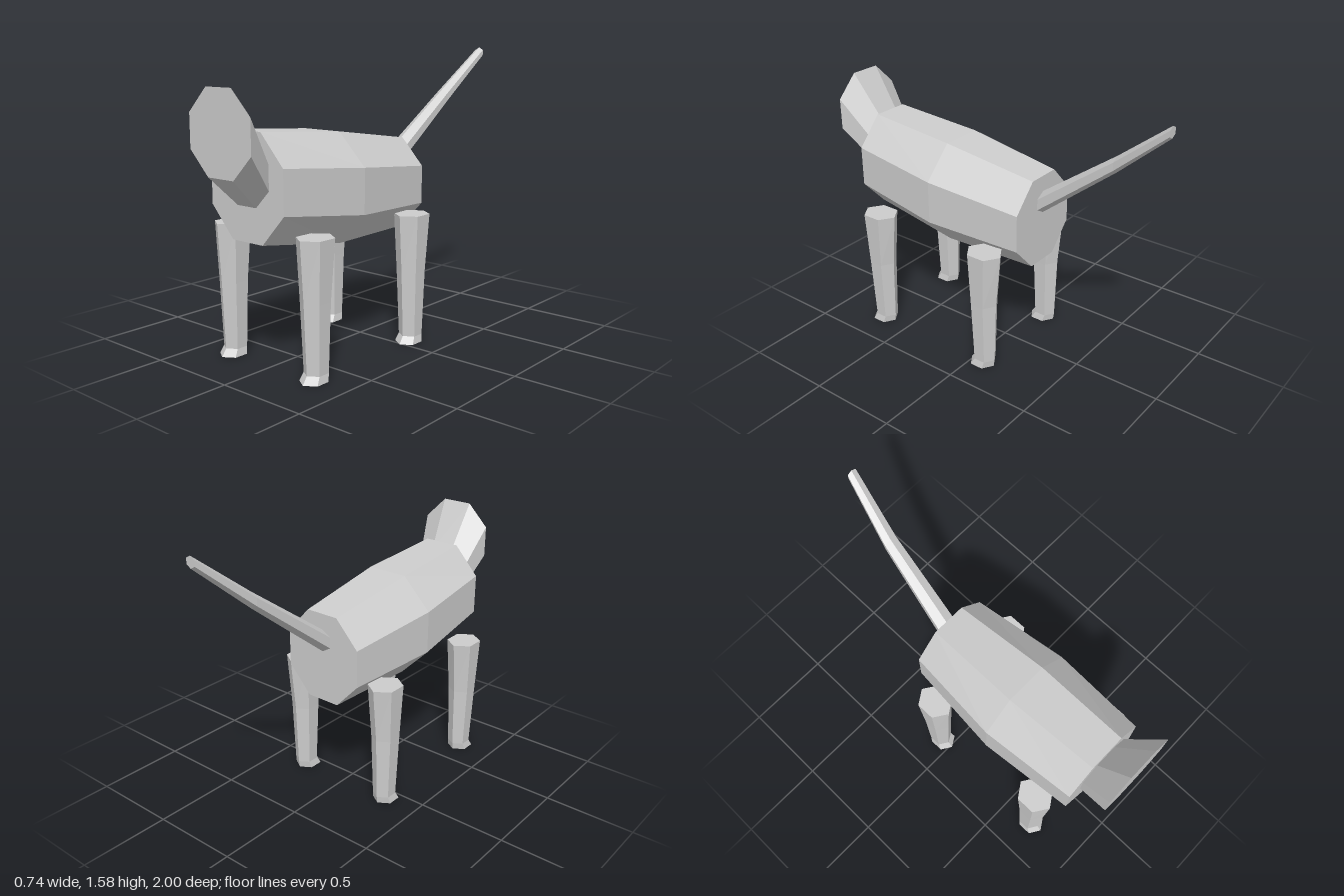
import * as THREE from 'three';

const grey = new THREE.MeshStandardMaterial({ color: 0xcccccc, flatShading: true });
grey.name = 'plain grey';

// Skins a run of rings; each ring is a list of points ordered counter-clockwise
// as seen from the end the rings run towards. Both ends are capped.
function loft(name, rings) {
  const n = rings[0].length;
  const pos = [];
  const tri = (...pts) => pts.forEach((p) => pos.push(p.x, p.y, p.z));
  for (let r = 0; r < rings.length - 1; r++) {
    for (let i = 0; i < n; i++) {
      const j = (i + 1) % n;
      const a = rings[r][i], b = rings[r][j], c = rings[r + 1][j], d = rings[r + 1][i];
      tri(a, b, c);
      tri(a, c, d);
    }
  }
  const first = rings[0], last = rings[rings.length - 1];
  for (let i = 1; i < n - 1; i++) {
    tri(first[0], first[i + 1], first[i]);
    tri(last[0], last[i], last[i + 1]);
  }
  const geometry = new THREE.BufferGeometry();
  geometry.setAttribute('position', new THREE.Float32BufferAttribute(pos, 3));
  geometry.computeVertexNormals();
  const mesh = new THREE.Mesh(geometry, grey);
  mesh.name = name;
  return mesh;
}

// Upright ring facing +z
function ringZ(sides, x, y, z, rx, ry) {
  return Array.from({ length: sides }, (_, i) => {
    const t = ((i + 0.5) / sides) * Math.PI * 2;
    return new THREE.Vector3(x + rx * Math.cos(t), y + ry * Math.sin(t), z);
  });
}

// Level hexagon facing +y, with corners to the front and back
function ringY(x, y, z, rx, rz) {
  return Array.from({ length: 6 }, (_, i) => {
    const t = ((i + 0.5) / 6) * Math.PI * 2;
    return new THREE.Vector3(x + rx * Math.cos(t), y, z - rz * Math.sin(t));
  });
}

export function createModel() {
  const model = new THREE.Group();
  model.name = 'fourLeggedAnimal';
  const oct = 1 / Math.cos(Math.PI / 8); // flat width to corner radius
  const hex = 1 / Math.cos(Math.PI / 6);

  // Body: z, centre height, half width, half height
  model.add(loft('body', [
    [-0.25, 0.84, 0.233, 0.25],
    [0.3, 0.88, 0.287, 0.29],
    [0.83, 0.94, 0.25, 0.27],
  ].map(([z, y, w, h]) => ringZ(8, 0, y, z, w * oct, h * oct))));

  // Head flares forward to a flat face
  model.add(loft('head', [
    [0, 1.0, 0.83, 0.154],
    [0.015, 1.21, 1.0, 0.21],
  ].map(([x, y, z, r]) => ringZ(8, x, y, z, r * oct, r * oct))));

  // Tail rises backwards and leans to the left
  model.add(loft('tail', [
    [0.1, 1.545, -1.0, 0.031],
    [0.043, 1.29, -0.7, 0.044],
    [0, 0.94, -0.25, 0.062],
  ].map(([x, y, z, r]) => ringZ(6, x, y, z, r, r))));

  // Legs: height, z offset, half width, half depth
  const legRings = [
    [0, 0.02, 0.061, 0.077],
    [0.04, 0.003, 0.053, 0.066],
    [0.4, 0.005, 0.065, 0.08],
    [0.71, 0, 0.079, 0.105],
  ];
  for (const [end, z] of [['front', 0.666], ['back', -0.084]]) {
    for (const [side, x] of [['Left', 0.292], ['Right', -0.292]]) {
      model.add(loft(`${end}${side}Leg`,
        legRings.map(([y, dz, w, d]) => ringY(x, y, z + dz, w * hex, d))));
    }
  }
  return model;
}
